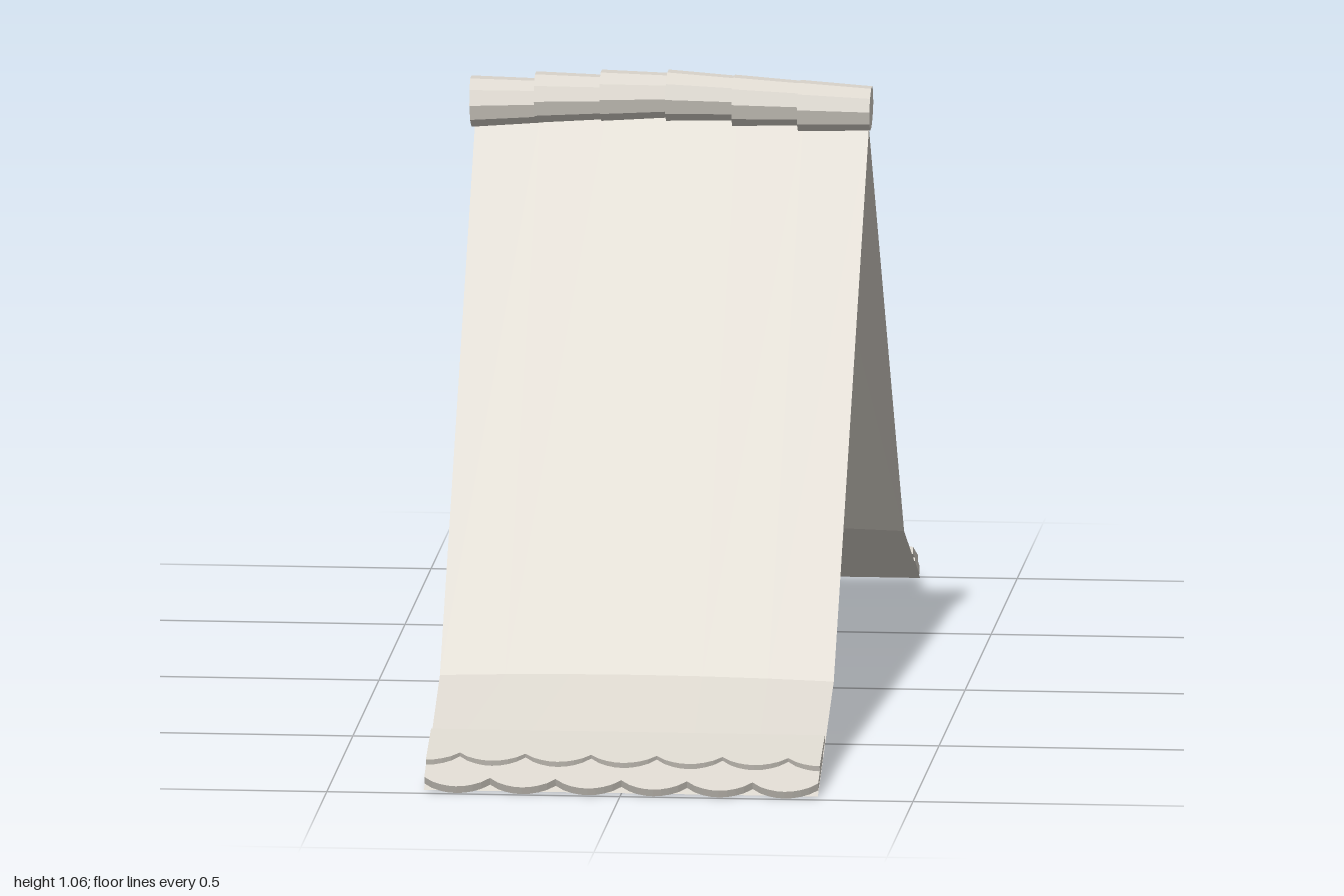
import * as THREE from 'three';

const HALF = 0.336;            // half width of the roof
const TILE = (HALF * 2) / 6;   // width of one tile

const plaster = new THREE.MeshStandardMaterial({ color: 0xd9d4cb, flatShading: true, side: THREE.DoubleSide });
plaster.name = 'pale stone';

function named(geometry, name) {
  const mesh = new THREE.Mesh(geometry, plaster);
  mesh.name = name;
  return mesh;
}

// Bent sheet for one slope; the ridge and the bend arch slightly along x
function slopeSheet() {
  const profile = [[0, 1.0, 0.022], [0.675, 0.156, 0.006], [0.98, 0.01, 0]]; // z, y, sag at the sides
  const columns = 6;
  const geometry = new THREE.PlaneGeometry(HALF * 2, 1, columns, 2);
  const position = geometry.attributes.position;
  for (let i = 0; i < position.count; i++) {
    const [z, y, sag] = profile[Math.floor(i / (columns + 1))];
    const u = position.getX(i) / HALF;
    position.setXYZ(i, position.getX(i), y - sag * u * u, z);
  }
  geometry.computeVertexNormals();
  return geometry;
}

// One row of round-ended tiles, drawn as x across and y down the slope
function tileRow(length, thickness, offset) {
  const lobe = 0.026, steps = 48;
  const shape = new THREE.Shape();
  shape.moveTo(-HALF, 0);
  shape.lineTo(HALF, 0);
  for (let i = 0; i <= steps; i++) {
    const x = HALF - (i / steps) * HALF * 2;
    const wave = Math.abs(Math.sin(Math.PI * ((x + HALF) / TILE + offset)));
    shape.lineTo(x, length - lobe + lobe * Math.pow(wave, 0.75));
  }
  shape.closePath();
  return new THREE.ExtrudeGeometry(shape, { depth: thickness, bevelEnabled: false });
}

function roofSide(name) {
  const side = new THREE.Group();
  side.name = name;
  side.add(named(slopeSheet(), 'roofSlope'));

  const lower = named(tileRow(0.121, 0.014, 0), 'lowerEaveTiles');
  lower.position.set(0, 0.071, 0.888);
  lower.rotation.x = Math.PI / 2 + 0.43;

  const upper = named(tileRow(0.106, 0.012, 0.5), 'upperEaveTiles');
  upper.position.set(0, 0.09, 0.845);
  upper.rotation.x = Math.PI / 2 + 0.33;

  side.add(lower, upper);
  return side;
}

// Tapered ridge tiles following a shallow arch: x, centre height at each end
function ridge() {
  const group = new THREE.Group();
  group.name = 'ridge';
  const tiles = [
    [-0.342, -0.225, 1.013, 1.016],
    [-0.232, -0.112, 1.022, 1.024],
    [-0.12, 0, 1.027, 1.029],
    [-0.008, 0.112, 1.029, 1.026],
    [0.105, 0.225, 1.022, 1.019],
    [0.217, 0.34, 1.015, 1.012],
  ];
  for (const [x0, x1, y0, y1] of tiles) {
    const length = Math.hypot(x1 - x0, y1 - y0);
    const tile = named(new THREE.CylinderGeometry(0.044, 0.038, length, 10), 'ridgeTile');
    tile.position.set((x0 + x1) / 2, (y0 + y1) / 2, 0);
    tile.rotation.z = Math.PI / 2 + Math.atan2(y1 - y0, x1 - x0);
    group.add(tile);
  }
  return group;
}

export function createModel() {
  const model = new THREE.Group();
  model.name = 'tiledRoof';
  const back = roofSide('backSlope');
  back.rotation.y = Math.PI;
  model.add(roofSide('frontSlope'), back, ridge());
  return model;
}
